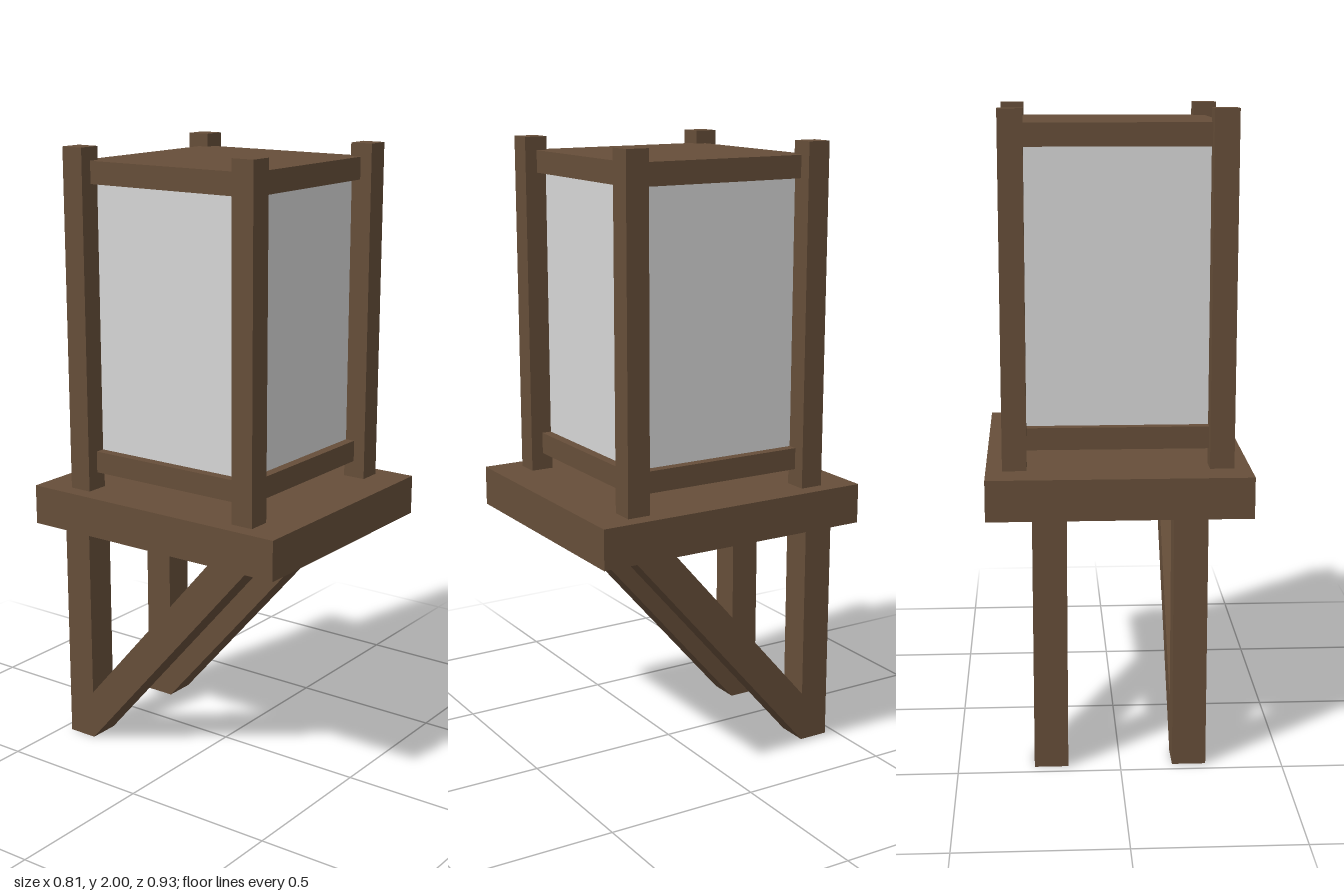
import * as THREE from 'three';

export function createModel() {
  const model = new THREE.Group();
  const wood = new THREE.MeshStandardMaterial({ color: 0x664e39 });
  wood.name = 'brown wood';
  const paper = new THREE.MeshStandardMaterial({ color: 0xd6d6d6 });
  paper.name = 'pale paper';

  const add = (name, geometry, material) => {
    const mesh = new THREE.Mesh(geometry, material);
    mesh.name = name;
    model.add(mesh);
    return mesh;
  };

  // Box centred on x, spanning y0 to y1
  const box = (name, w, d, y0, y1, x = 0, z = 0, material = wood) =>
    add(name, new THREE.BoxGeometry(w, y1 - y0, d), material).position.set(x, (y0 + y1) / 2, z);

  // Shelf that carries the lantern
  box('shelf', 0.81, 0.93, 0.79, 0.918);

  // Lantern: bottom and top plates with the paper shade between them
  box('bottomPlate', 0.63, 0.63, 0.973, 1.042);
  box('topPlate', 0.63, 0.63, 1.888, 1.958);
  box('paperShade', 0.568, 0.568, 1.042, 1.888, 0, 0, paper);

  // Four corner posts
  for (const sx of [-1, 1]) {
    for (const sz of [-1, 1]) {
      box('cornerPost', 0.075, 0.075, 0.918, 2, sx * 0.317, sz * 0.317);
    }
  }

  // Diagonal brace profile: z across, y up
  const profile = new THREE.Shape([
    new THREE.Vector2(-0.365, 0),
    new THREE.Vector2(0.32, 0.79),
    new THREE.Vector2(0.177, 0.79),
    new THREE.Vector2(-0.365, 0.165),
  ]);
  const braceGeometry = new THREE.ExtrudeGeometry(profile, { depth: 0.104, bevelEnabled: false });
  braceGeometry.translate(0, 0, -0.052);
  braceGeometry.rotateY(-Math.PI / 2);

  // Two brackets: upright at the back and a brace to the front
  for (const sx of [-1, 1]) {
    box('bracketUpright', 0.104, 0.1, 0, 0.79, sx * 0.213, -0.415);
    add('bracketBrace', braceGeometry, wood).position.x = sx * 0.213;
  }

  return model;
}
